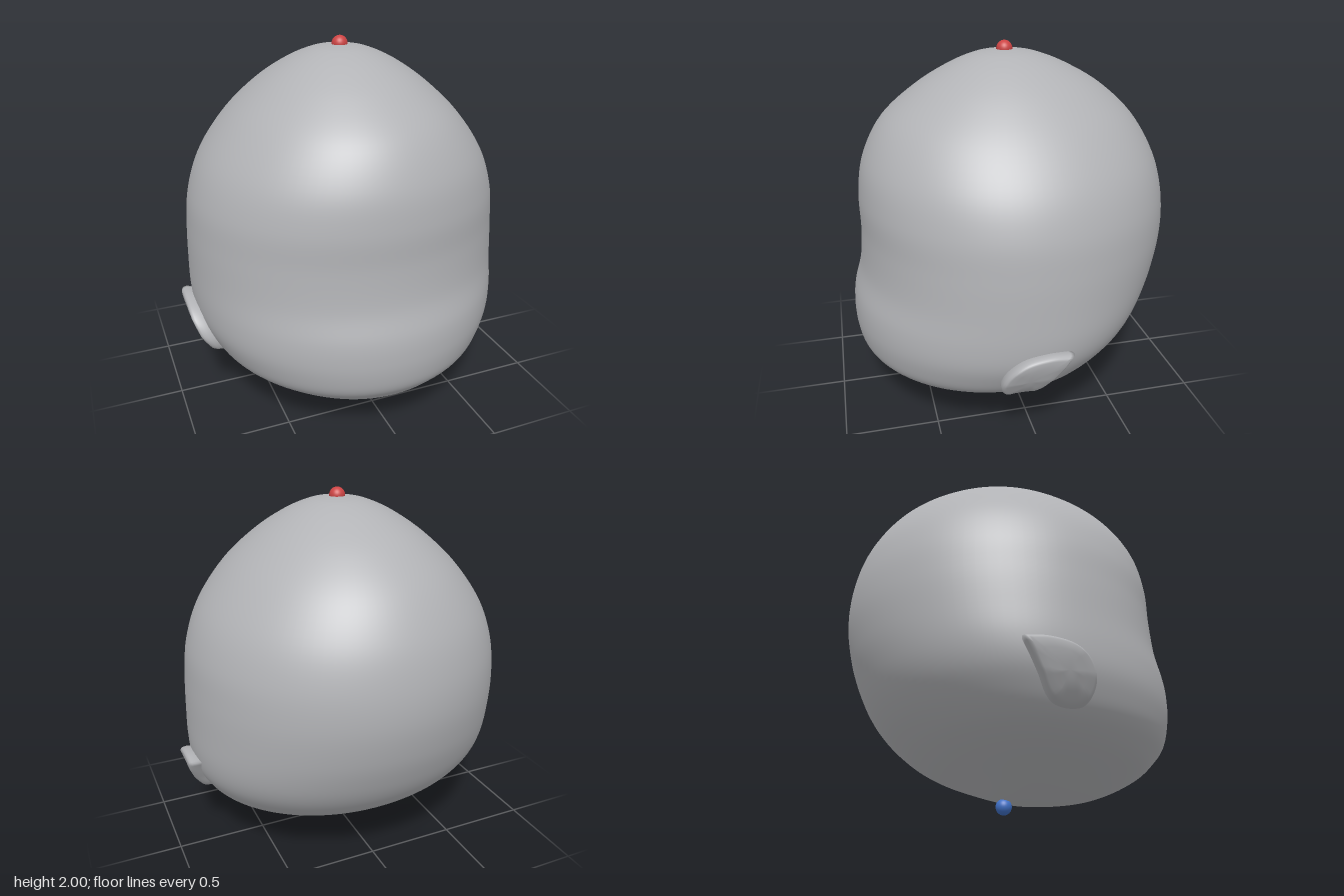
import * as THREE from 'three';
import { mergeVertices } from 'three/addons/utils/BufferGeometryUtils.js';

// Closed skin over a list of rings, each holding the same number of points
function loft(rings) {
  const n = rings[0].length, index = [];
  for (let i = 0; i < rings.length - 1; i++) {
    for (let j = 0; j < n; j++) {
      const a = i * n + j, b = i * n + (j + 1) % n;
      index.push(a, a + n, b, b, a + n, b + n);
    }
  }
  const geo = new THREE.BufferGeometry();
  geo.setAttribute('position', new THREE.Float32BufferAttribute(rings.flat(2), 3));
  geo.setIndex(index);
  const merged = mergeVertices(geo, 1e-5);
  merged.computeVertexNormals();
  return merged;
}

// Head levels: height, half width, front z, back z, z of the widest point
const LEVELS = [
  [0.06, 0, 0.14, 0.14, 0.14],
  [0.067, 0.08, 0.28, 0.03, 0.14],
  [0.095, 0.19, 0.46, -0.07, 0.14],
  [0.15, 0.37, 0.62, -0.2, 0.13],
  [0.22, 0.57, 0.75, -0.36, 0.12],
  [0.28, 0.69, 0.815, -0.47, 0.1],
  [0.34, 0.765, 0.86, -0.555, 0.08],
  [0.42, 0.82, 0.882, -0.645, 0.05],
  [0.52, 0.865, 0.89, -0.725, 0.02],
  [0.64, 0.883, 0.88, -0.79, 0],
  [0.8, 0.883, 0.837, -0.85, 0],
  [1.0, 0.875, 0.82, -0.888, 0],
  [1.2, 0.85, 0.82, -0.88, 0],
  [1.4, 0.775, 0.785, -0.825, 0],
  [1.6, 0.63, 0.68, -0.705, 0],
  [1.76, 0.46, 0.5, -0.53, 0],
  [1.87, 0.3, 0.32, -0.34, 0],
  [1.93, 0.17, 0.18, -0.19, 0],
  [1.95, 0.08, 0.085, -0.09, 0],
  [1.955, 0, 0, 0, 0],
];

function headGeometry() {
  const spline = (f) => new THREE.CatmullRomCurve3(LEVELS.map(f), false, 'catmullrom', 0.5);
  const outer = spline(([y, w, f]) => new THREE.Vector3(w, y, f));
  const rear = spline(([, , , b, c]) => new THREE.Vector3(b, 0, c));
  const rings = [], steps = 114, sides = 96;
  for (let i = 0; i <= steps; i++) {
    const p = outer.getPoint(i / steps), q = rear.getPoint(i / steps);
    const ring = [];
    for (let j = 0; j < sides; j++) {
      const a = (j / sides) * Math.PI * 2, s = Math.sin(a);
      const reach = s > 0 ? p.z - q.z : q.z - q.x;
      ring.push([p.x * Math.cos(a), p.y, q.z + s * reach]);
    }
    rings.push(ring);
  }
  return loft(rings);
}

// Teardrop ear: outline in (z, y), starting and ending at the pointed tip
const EAR = [[-0.14, 0.61], [-0.02, 0.617], [0.11, 0.59], [0.19, 0.52], [0.218, 0.43],
  [0.19, 0.355], [0.1, 0.335], [0.01, 0.365], [-0.06, 0.47], [-0.14, 0.61]];
// Outer face of the ear: height, x
const EAR_FACE = [[0.33, 0.77], [0.37, 0.835], [0.46, 0.89], [0.55, 0.925], [0.63, 0.937]];

function faceX(y) {
  let i = 0;
  while (i < EAR_FACE.length - 2 && y > EAR_FACE[i + 1][0]) i++;
  const [y0, x0] = EAR_FACE[i], [y1, x1] = EAR_FACE[i + 1];
  return x0 + (x1 - x0) * (y - y0) / (y1 - y0);
}

function earGeometry(side) {
  const curve = new THREE.CatmullRomCurve3(EAR.map(([z, y]) => new THREE.Vector3(0, y, z)));
  const outline = curve.getPoints(56).slice(0, -1);
  if (side > 0) outline.reverse();
  // scale of the outline and depth below the outer face
  const steps = [[0, 0.1], [0.9, 0.1], [0.97, 0.06], [1, 0.035], [0.98, 0.016], [0.93, 0.005],
    [0.85, 0], [0.6, 0], [0.3, 0], [0, 0]];
  return loft(steps.map(([s, depth]) => outline.map((p) => {
    const y = 0.47 + (p.y - 0.47) * s, z = 0.08 + (p.z - 0.08) * s;
    return [side * (faceX(y) - depth), y, z];
  })));
}

export function createModel() {
  const skin = new THREE.MeshStandardMaterial({ color: 0xb2b3b6 });
  const red = new THREE.MeshStandardMaterial({ color: 0xcc4444 });
  const blue = new THREE.MeshStandardMaterial({ color: 0x3f6fc4 });
  skin.name = 'grey';
  red.name = 'red';
  blue.name = 'blue';

  const model = new THREE.Group();
  model.name = 'headBase';
  const add = (name, geo, mat, y = 0) => {
    const mesh = new THREE.Mesh(geo, mat);
    mesh.name = name;
    mesh.position.y = y;
    model.add(mesh);
  };

  add('head', headGeometry(), skin);
  add('leftEar', earGeometry(1), skin);
  add('rightEar', earGeometry(-1), skin);

  // Marker balls at the crown and the neck
  const ball = new THREE.SphereGeometry(0.043, 32, 20);
  add('crownMarker', ball, red, 1.957);
  add('neckMarker', ball, blue, 0.043);
  return model;
}
